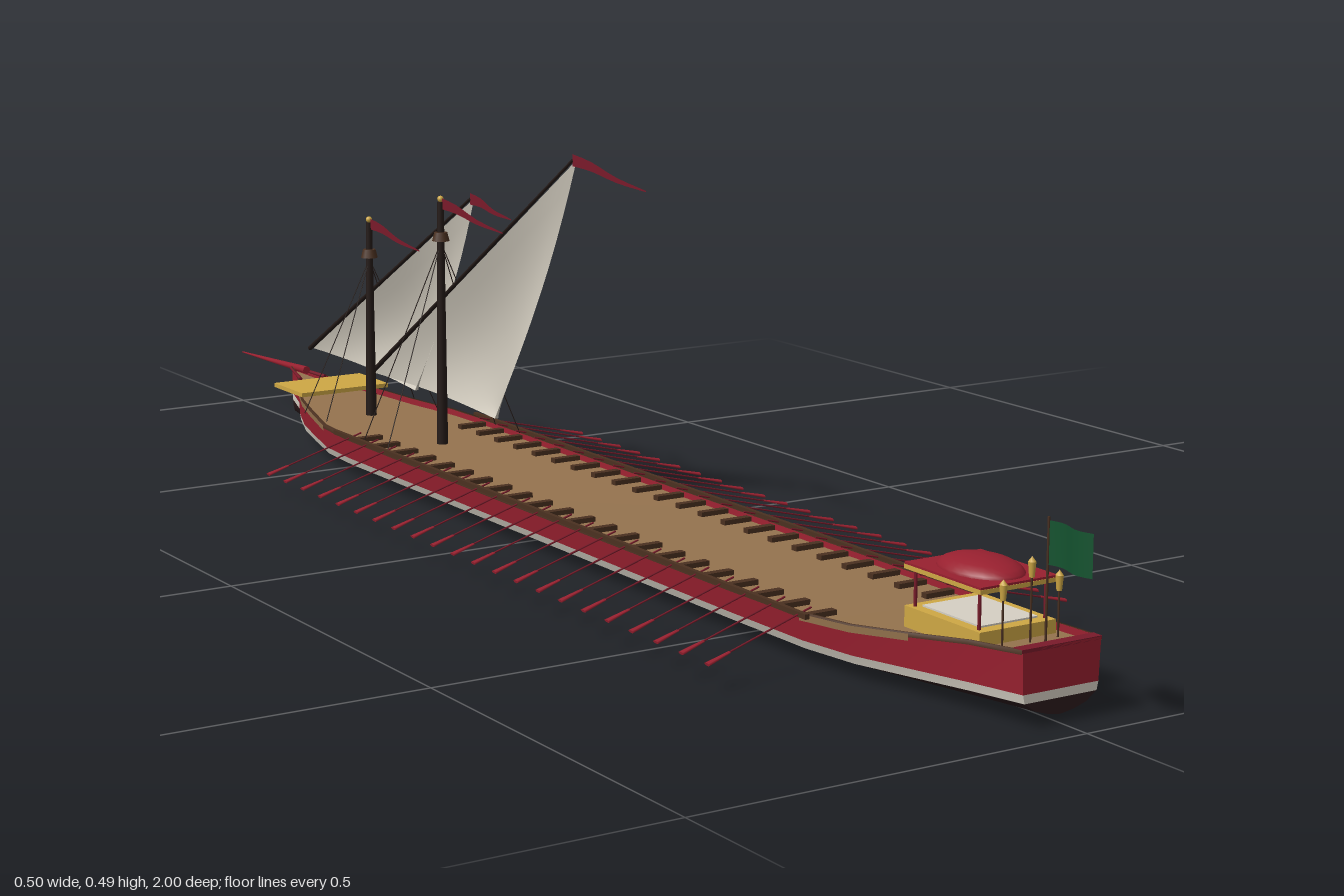
import * as THREE from 'three';

const mat = (name, color, double = false) => {
  const m = new THREE.MeshStandardMaterial({ color });
  m.name = name;
  if (double) m.side = THREE.DoubleSide;
  return m;
};

export function createModel() {
  const model = new THREE.Group();
  model.name = 'galley';
  const M = {
    red: mat('red paint', 0x98202f, true),
    darkRed: mat('dark red', 0x7a1a2a, true),
    white: mat('white stripe', 0xd6d0c4, true),
    tar: mat('tarred hull', 0x2c1a1c, true),
    deck: mat('deck planks', 0x95734e, true),
    gold: mat('gold', 0xcfa845),
    wood: mat('dark wood', 0x4a3020, true),
    rope: mat('blackened spars and rope', 0x241a17),
    sail: mat('sailcloth', 0xcec8bb, true),
    green: mat('green flag', 0x14522f, true),
  };
  const V = (x, y, z) => new THREE.Vector3(x, y, z);

  const add = (name, geometry, material, x = 0, y = 0, z = 0) => {
    const mesh = new THREE.Mesh(geometry, material);
    mesh.name = name;
    mesh.position.set(x, y, z);
    model.add(mesh);
    return mesh;
  };
  const box = (name, m, w, h, d, x, y, z) => add(name, new THREE.BoxGeometry(w, h, d), m, x, y, z);
  // Tapered round bar from a to b
  const rod = (name, m, a, b, ra, rb = ra, sides = 6) => {
    const dir = b.clone().sub(a);
    const mesh = add(name, new THREE.CylinderGeometry(rb, ra, dir.length(), sides), m);
    mesh.position.copy(a).add(b).multiplyScalar(0.5);
    mesh.quaternion.setFromUnitVectors(V(0, 1, 0), dir.normalize());
    return mesh;
  };
  // Surface through rows of points
  const loft = (name, m, rows) => {
    const n = rows[0].length, index = [];
    for (let i = 0; i < rows.length - 1; i++)
      for (let j = 0; j < n - 1; j++) {
        const a = i * n + j, b = a + n;
        index.push(a, b, a + 1, b, b + 1, a + 1);
      }
    const g = new THREE.BufferGeometry().setFromPoints(rows.flat());
    g.setIndex(index);
    g.computeVertexNormals();
    return add(name, g, m);
  };

  // Hull stations: z, half width, gunwale height, keel height
  const stations = [
    [0.957, 0.053, 0.086, 0.01], [0.88, 0.063, 0.08, 0.006], [0.8, 0.08, 0.071, 0.003],
    [0.72, 0.1, 0.064, 0.001], [0.64, 0.109, 0.06, 0], [0.5, 0.111, 0.059, 0],
    [0, 0.111, 0.058, 0], [-0.44, 0.111, 0.059, 0], [-0.52, 0.105, 0.06, 0],
    [-0.6, 0.084, 0.063, 0.001], [-0.66, 0.068, 0.067, 0.003], [-0.72, 0.044, 0.072, 0.006],
    [-0.77, 0.018, 0.078, 0.01], [-0.82, 0.004, 0.084, 0.016],
  ];
  const section = ([z, w, top, k]) => [
    V(0, k, z), V(w * 0.35, k + 0.003, z), V(w * 0.65, k + 0.008, z), V(w * 0.92, k + 0.018, z),
    V(w * 0.96, k + 0.028, z), V(w, top, z),
  ];
  const bands = [['hullBottom', M.tar, 0, 4], ['hullStripe', M.white, 3, 5], ['hullTopside', M.red, 4, 6]];
  const flip = p => V(-p.x, p.y, p.z);
  for (const [name, m, from, to] of bands) {
    const rows = stations.map(s => section(s).slice(from, to));
    loft(name + 'Left', m, rows);
    loft(name + 'Right', m, rows.map(r => r.map(flip)));
    for (const [end, row] of [['Stern', rows[0]], ['Bow', rows[rows.length - 1]]])
      loft(name + end, m, [row, row.map(flip)]);
  }
  loft('deck', M.deck, stations.map(([z, w, top]) => [V(-w * 0.985, top - 0.008, z), V(w * 0.985, top - 0.008, z)]));

  for (const s of [-1, 1]) {
    // Gunwale caps along the sheer
    loft('gunwale', M.wood, stations.map(([z, w, top]) => [
      V(s * w * 0.96, top + 0.001, z), V(s * (w + 0.001), top + 0.001, z), V(s * (w + 0.001), top - 0.004, z)]));
    // Plain plank strakes under the rising sheer at bow and stern
    for (const [from, to] of [[2, 5], [8, 13]])
      loft('sheerStrake', M.deck, stations.slice(from, to).map(([z, w, top]) => [
        V(s * (w + 0.0015), top, z), V(s * (w + 0.0008), top - 0.008, z)]));
    // Straight outrigger rail
    box('outriggerRail', M.wood, 0.006, 0.006, 1.13, s * 0.113, 0.061, 0.095);

    // Oars with blades, and rowing benches
    for (let i = 0; i < 22; i++) {
      const z = -0.402 + i * 0.0509;
      const at = x => V(s * x, 0.062 - (x - 0.11) * 0.229, z - (0.25 - x) * 0.16);
      rod('oar', M.darkRed, at(0.095), at(0.235), 0.0012, 0.0011, 5);
      const blade = rod('oarBlade', M.red, at(0.218), at(0.251), 0.0025, 0.0045, 6);
      blade.scale.x = 0.4;
      box('bench', M.wood, 0.04, 0.006, 0.01, s * 0.083, 0.056, z - 0.025);
    }
  }

  // Stern platform with canopy over a pale floor cloth
  box('sternPlatform', M.gold, 0.104, 0.024, 0.13, 0, 0.076, 0.82);
  box('floorCloth', M.white, 0.078, 0.002, 0.1, 0, 0.089, 0.82);
  box('sternRail', M.darkRed, 0.108, 0.004, 0.014, 0, 0.085, 0.95);
  for (const x of [-0.045, 0.045])
    for (const z of [0.765, 0.875])
      rod('canopyPost', M.darkRed, V(x, 0.085, z), V(x, 0.132, z), 0.002);
  box('canopyFrame', M.gold, 0.106, 0.005, 0.132, 0, 0.132, 0.82);
  box('canopyRoof', M.red, 0.105, 0.003, 0.131, 0, 0.1355, 0.82);
  add('canopyDome', new THREE.SphereGeometry(1, 24, 12), M.red, 0, 0.135, 0.82).scale.set(0.042, 0.018, 0.058);

  // Stern lanterns
  for (const [x, top] of [[-0.038, 0.148], [0, 0.168], [0.038, 0.148]]) {
    rod('lanternPole', M.wood, V(x, 0.075, 0.905), V(x, top - 0.02, 0.905), 0.0012);
    rod('lantern', M.gold, V(x, top - 0.022, 0.905), V(x, top - 0.005, 0.905), 0.003, 0.0045, 8);
    add('lanternCap', new THREE.ConeGeometry(0.0045, 0.006, 8), M.gold, x, top - 0.002, 0.905);
  }

  // Flag
  rod('flagPole', M.wood, V(0, 0.075, 0.93), V(0, 0.217, 0.93), 0.0014);
  const flagRows = [];
  for (let i = 0; i <= 8; i++) {
    const t = i / 8, x = 0.004 * Math.sin(t * 6.5);
    flagRows.push([V(x, 0.165, 0.93 + t * 0.07), V(x, 0.213, 0.93 + t * 0.07)]);
  }
  loft('flag', M.green, flagRows);

  // Bow platform and spur
  box('bowPlatform', M.gold, 0.142, 0.006, 0.09, 0, 0.076, -0.7);
  rod('spur', M.red, V(0, 0.085, -0.78), V(0, 0.077, -1), 0.006, 0.001, 8);
  for (const s of [-1, 1]) rod('spurBrace', M.darkRed, V(s * 0.02, 0.077, -0.76), V(0, 0.083, -0.84), 0.003, 0.002);

  // Streaming pennant from a point
  const pennant = (x, y, z, len, drop) => {
    const rows = [];
    for (let i = 0; i <= 8; i++) {
      const t = i / 8, h = 0.007 * (1 - t) + 0.0008;
      const cy = y - drop * t + 0.001 * Math.sin(t * 6), cx = x + 0.002 * Math.sin(t * 8);
      rows.push([V(cx, cy - h, z + t * len), V(cx, cy + h, z + t * len)]);
    }
    loft('pennant', M.darkRed, rows);
  };

  // Masts with lateen rigs: yard peak, tack and clew are [z, y]
  const rigs = [
    { z: -0.365, top: 0.39, nest: 0.342, reach: 0.105, peak: [-0.03, 0.484], tack: [-0.59, 0.112], clew: [-0.25, 0.105], mastFlag: [0.165, 0.02], yardFlag: [0.17, 0.02] },
    { z: -0.575, top: 0.335, nest: 0.29, reach: 0.09, peak: [-0.295, 0.402], tack: [-0.785, 0.117], clew: [-0.475, 0.105], mastFlag: [0.145, 0.02], yardFlag: [0.105, 0.015] },
  ];
  for (const r of rigs) {
    rod('mast', M.rope, V(0, 0.04, r.z), V(0, r.top, r.z), 0.008, 0.0045, 12);
    rod('crowsNest', M.wood, V(0, r.nest - 0.006, r.z), V(0, r.nest + 0.006, r.z), 0.012, 0.009, 12);
    add('mastFinial', new THREE.SphereGeometry(0.0045, 10, 8), M.gold, 0, r.top + 0.004, r.z);
    pennant(0, r.top - 0.002, r.z, ...r.mastFlag);

    const [pz, py] = r.peak, [tz, ty] = r.tack, [cz, cy] = r.clew;
    rod('yard', M.rope, V(0.009, ty, tz), V(0.007, py, pz), 0.0035, 0.002, 8);
    pennant(0.007, py, pz, ...r.yardFlag);

    // Sail: rows run along the yard, columns drop to the clew
    const rows = [];
    for (let i = 0; i <= 12; i++) {
      const row = [];
      for (let j = 0; j <= 10; j++) {
        const u = i / 12, v = j / 10;
        const a = (1 - u) * (1 - v), b = u * (1 - v);
        const belly = 0.034 * Math.sin(Math.PI * v * 0.85) * (0.45 + 0.55 * Math.sin(Math.PI * u));
        row.push(V(0.013 + belly * (1 - 0.35 * v), a * py + b * ty + v * cy, a * pz + b * tz + v * cz));
      }
      rows.push(row);
    }
    loft('sail', M.sail, rows);

    // Shrouds
    for (const s of [-1, 1])
      for (const dz of [-0.034, 0.034])
        rod('shroud', M.rope, V(0, r.nest - 0.008, r.z), V(s * r.reach, 0.06, r.z + dz), 0.0007, 0.0007, 5);
  }
  return model;
}
